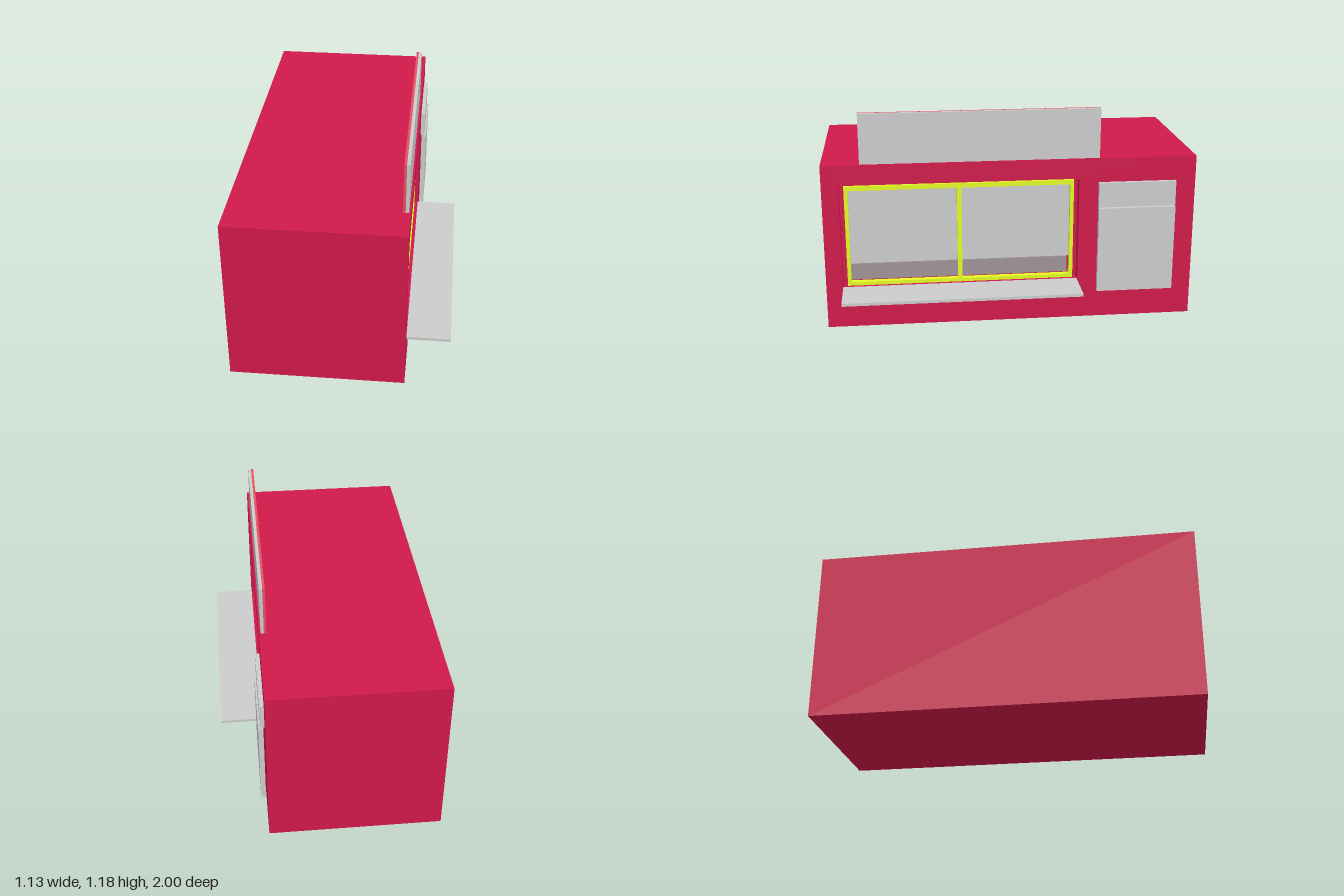
import * as THREE from 'three';

const mat = (color) => new THREE.MeshStandardMaterial({ color });
const red = mat(0xd0194a), grey = mat(0xcccccc), yellow = mat(0xe4fa24);
const coral = mat(0xe25462), dim = mat(0x9f9395);

export function createModel() {
  const model = new THREE.Group();

  const add = (name, geometry, material) => {
    const mesh = new THREE.Mesh(geometry, material);
    mesh.name = name;
    model.add(mesh);
  };

  // Box given by its extents on each axis
  const box = (name, material, [x0, x1], [y0, y1], [z0, z1]) => {
    const g = new THREE.BoxGeometry(x1 - x0, y1 - y0, z1 - z0);
    g.translate((x0 + x1) / 2, (y0 + y1) / 2, (z0 + z1) / 2);
    add(name, g, material);
  };

  // Upright slab facing +x with rectangular holes; rectangles are [z0, z1, y0, y1]
  const trace = (path, [z0, z1, y0, y1]) => {
    path.moveTo(-z1, y0);
    path.lineTo(-z0, y0);
    path.lineTo(-z0, y1);
    path.lineTo(-z1, y1);
    path.closePath();
    return path;
  };
  const slab = (name, material, [x0, x1], outer, holes) => {
    const shape = trace(new THREE.Shape(), outer);
    shape.holes = holes.map((h) => trace(new THREE.Path(), h));
    const g = new THREE.ExtrudeGeometry(shape, { depth: x1 - x0, bevelEnabled: false });
    g.rotateY(Math.PI / 2);
    g.translate(x0, 0, 0);
    add(name, g, material);
  };

  // Kiosk body, with a shallow window recess in the serving wall
  box('body', red, [-0.565, 0.29], [0, 0.91], [-1, 1]);
  slab('servingWall', red, [0.29, 0.34], [-1, 1, 0, 0.91], [[-0.365, 0.91, 0.22, 0.8]]);

  // Two-bay window
  const bays = [[-0.32, 0.265], [0.29, 0.865]];
  slab('windowFrame', yellow, [0.292, 0.322], [-0.34, 0.885, 0.23, 0.79],
    bays.map(([z0, z1]) => [z0, z1, 0.25, 0.765]));
  for (const bay of bays) box('windowPane', grey, [0.29, 0.3], [0.35, 0.765], bay);
  box('innerCounter', dim, [0.29, 0.308], [0.26, 0.35], [-0.31, 0.865]);

  // Serving shelf
  box('servingShelf', grey, [0.34, 0.565], [0.215, 0.231], [-0.36, 0.91]);

  // Notice boards beside the window
  box('upperBoard', grey, [0.34, 0.363], [0.642, 0.778], [-0.89, -0.47]);
  box('lowerBoard', grey, [0.346, 0.372], [0.16, 0.637], [-0.89, -0.47]);

  // Roof sign with a coloured back
  box('roofSignFront', grey, [0.313, 0.33], [0.91, 1.18], [-0.475, 0.797]);
  box('roofSignBack', coral, [0.3, 0.313], [0.91, 1.18], [-0.475, 0.797]);

  return model;
}
